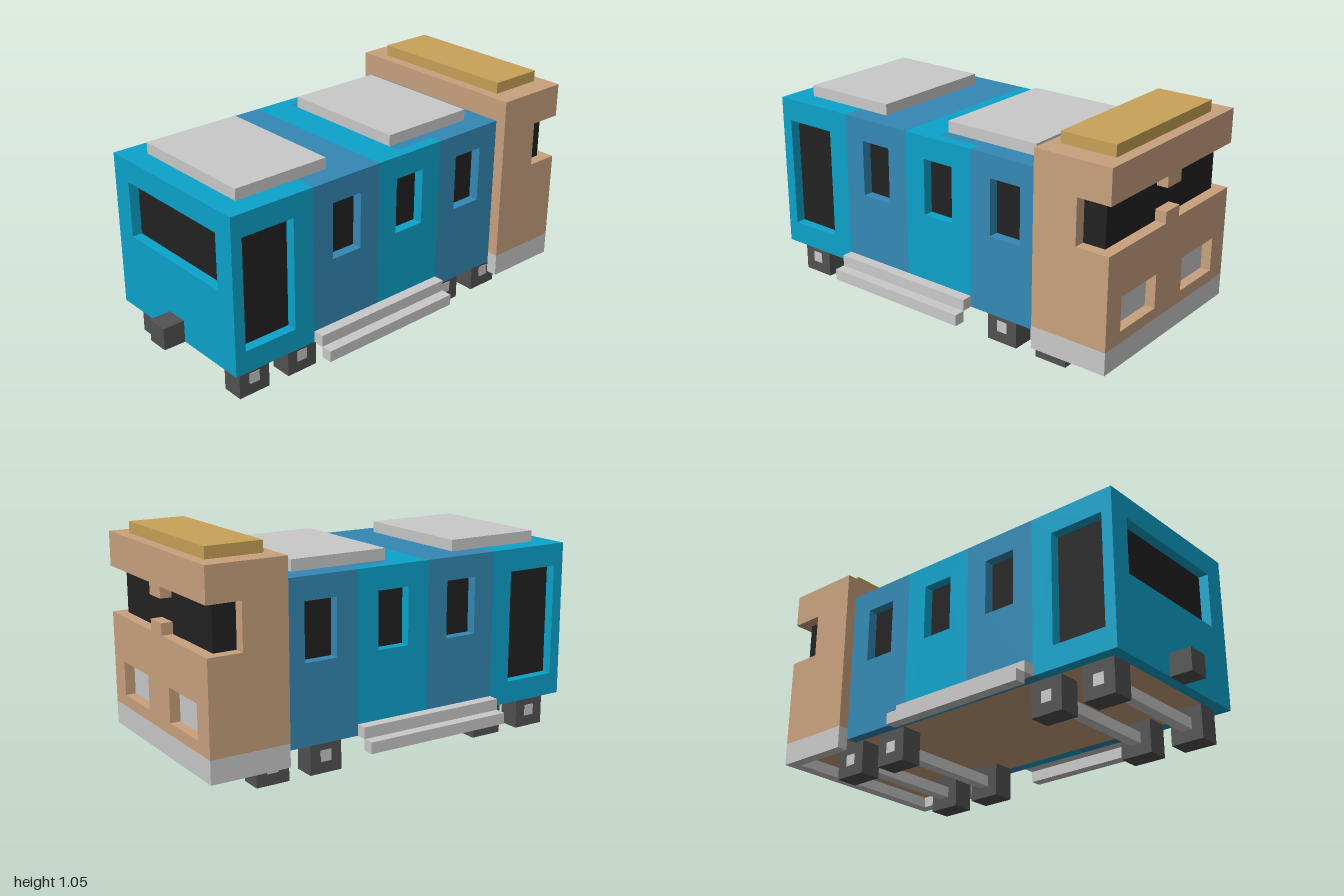
import * as THREE from 'three';

// All sizes below are in whole grid cells; 38 cells make the 2-unit length.
const U = 2 / 38;

function material(name, color) {
  const m = new THREE.MeshStandardMaterial({ color });
  m.name = name;
  return m;
}

export function createModel() {
  const cyan = material('cyan', 0x0ca3cb);
  const blue = material('blue', 0x3489b5);
  const tan = material('tan', 0xc9a17e);
  const gold = material('gold', 0xc8a258);
  const silver = material('silver', 0xc9c9c9);
  const iron = material('iron', 0x525252);
  const glass = material('black glass', 0x222222);

  const train = new THREE.Group();
  train.name = 'railCar';

  function add(name, geometry, mat) {
    geometry.scale(U, U, U);
    const mesh = new THREE.Mesh(geometry, mat);
    mesh.name = name;
    train.add(mesh);
  }

  // Box given by its low and high corner on each axis
  function box(name, mat, [x0, x1], [y0, y1], [z0, z1]) {
    const g = new THREE.BoxGeometry(x1 - x0, y1 - y0, z1 - z0);
    g.translate((x0 + x1) / 2, (y0 + y1) / 2, (z0 + z1) / 2);
    add(name, g, mat);
  }

  // The same box on both sides of the car
  function pair(name, mat, xs, ys, [z0, z1]) {
    box(name + 'Left', mat, xs, ys, [z0, z1]);
    box(name + 'Right', mat, xs, ys, [-z1, -z0]);
  }

  function rectangle(path, [a0, a1], [b0, b1]) {
    return path.moveTo(a0, b0).lineTo(a1, b0).lineTo(a1, b1).lineTo(a0, b1).closePath();
  }

  // One-cell-thick wall with rectangular openings
  function wall(as, bs, holes) {
    const shape = rectangle(new THREE.Shape(), as, bs);
    for (const [ha, hb] of holes) shape.holes.push(rectangle(new THREE.Path(), ha, hb));
    return new THREE.ExtrudeGeometry(shape, { depth: 1, bevelEnabled: false });
  }

  // Striped side walls, each with one recessed opening
  const sections = [
    [cyan, [-17, -9], [-16, -11], [5, 15], 'door'],
    [blue, [-9, -2], [-7, -4], [10, 15], 'window'],
    [cyan, [-2, 5], [0, 3], [10, 15], 'window'],
    [blue, [5, 12], [7, 10], [10, 15], 'window'],
  ];
  for (const [mat, xs, hx, hy, kind] of sections) {
    for (const z of [7, -8]) add('sideWall', wall(xs, [3, 17], [[hx, hy]]).translate(0, 0, z), mat);
    pair(kind + 'Glass', glass, hx, hy, [7, 7.1]);
  }

  // Inner body, which forms the roof stripes
  for (const [mat, xs] of [[cyan, [-16, -9]], [blue, [-9, -2]], [cyan, [-2, 1]], [blue, [1, 12]]]) {
    box('roof', mat, xs, [4, 17], [-7, 7]);
  }
  box('bodyFloor', tan, [-16, 12], [3, 4], [-7, 7]);

  // Rear wall with its wide window
  const rear = wall([-7, 7], [3, 17], [[[-6, 6], [10, 15]]]);
  add('rearWall', rear.rotateY(Math.PI / 2).translate(-17, 0, 0), cyan);
  box('rearGlass', glass, [-16.1, -16], [10, 15], [-6, 6]);
  box('coupler', iron, [-19, -17], [3, 5], [-1, 1]);

  // Roof units
  for (const x of [-15, 1]) box('roofUnit', silver, [x, x + 9], [17, 18], [-6, 6]);

  // Cab skirt, open underneath
  box('noseSkirt', silver, [18, 19], [2, 4], [-9, 9]);
  pair('sideSkirt', silver, [12, 18], [2, 4], [8, 9]);
  box('cabFloor', tan, [12, 18], [3, 4], [-8, 8]);

  // Cab lower half with recessed headlights
  box('cabLower', tan, [12, 18], [4, 12], [-9, 9]);
  const lamps = [[[-7, -2], [5, 8]], [[2, 7], [5, 8]]];
  const nose = wall([-9, 9], [4, 12], lamps);
  add('noseWall', nose.rotateY(Math.PI / 2).translate(18, 0, 0), tan);
  pair('headlight', silver, [18, 18.1], [5, 8], [2, 7]);

  // Wraparound windscreen with a small nub above and below its middle
  box('cabPillar', tan, [12, 16], [12, 16], [-9, 9]);
  box('windscreen', glass, [16, 18], [12, 16], [-8, 8]);
  for (const y of [12, 15]) box('windscreenNub', tan, [18, 19], [y, y + 1], [-1, 1]);
  box('cabTop', tan, [12, 19], [16, 19], [-9, 9]);
  box('cabRoofPlate', gold, [13, 18], [19, 20], [-7, 7]);

  // Two-tier side steps
  pair('upperStep', silver, [-9, 5], [3, 4], [8, 9]);
  pair('lowerStep', silver, [-9, 5], [2, 3], [9, 10]);

  // Square wheels on axles whose ends show as hubs
  for (const x of [-16, -11, 6, 11]) {
    pair('wheel', iron, [x, x + 3], [0, 3], [5, 7]);
    box('axle', silver, [x + 1, x + 2], [1, 2], [-7.04, 7.04]);
  }

  return train;
}
